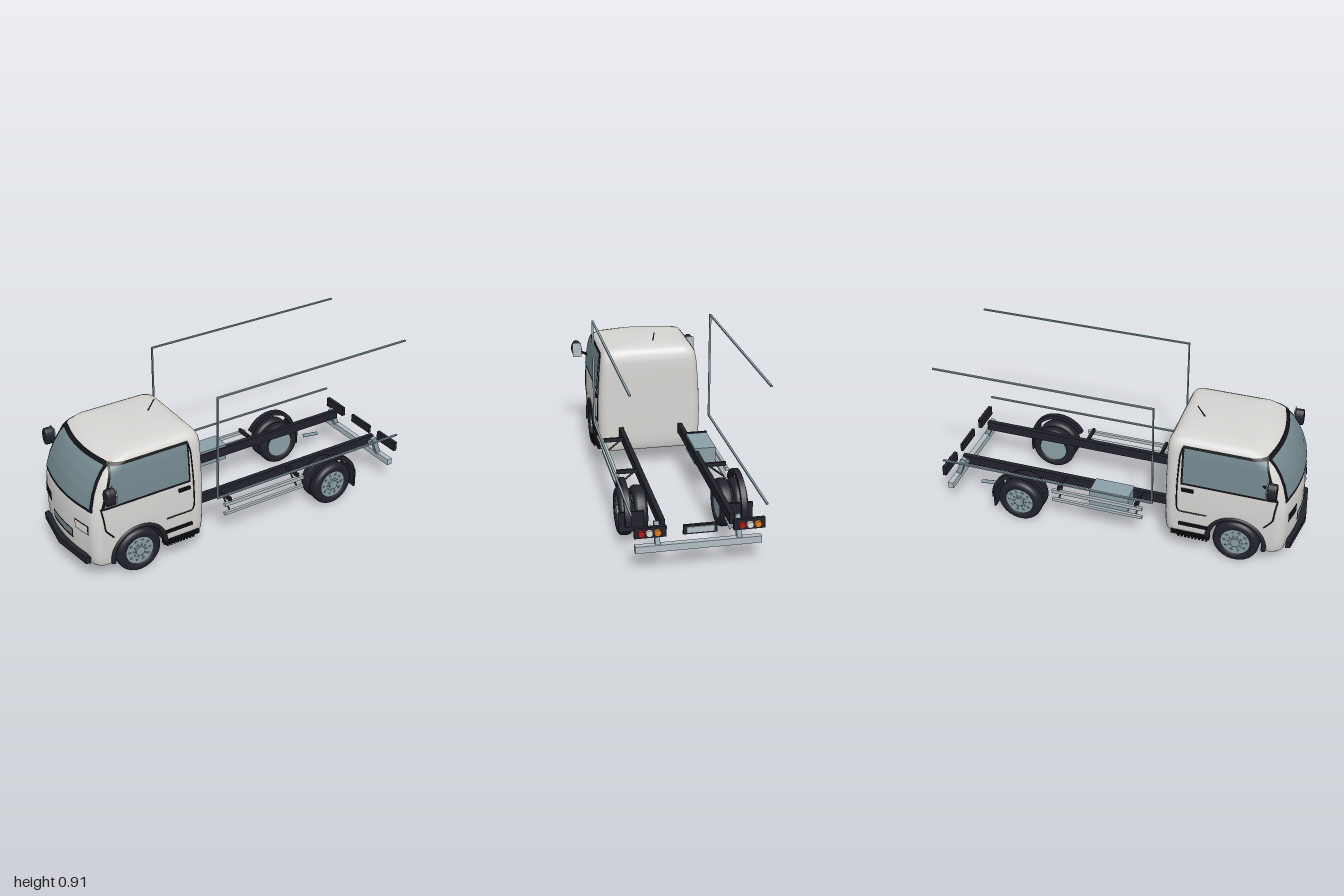
import * as THREE from 'three';

const mat = (name, color, side = THREE.FrontSide) => {
  const m = new THREE.MeshStandardMaterial({ color, side });
  m.name = name;
  return m;
};
const M = {
  body: mat('bodyPaint', 0xd8d6d3, THREE.DoubleSide),
  dark: mat('darkChassis', 0x22222c, THREE.DoubleSide),
  black: mat('blackTrim', 0x111116, THREE.DoubleSide),
  glass: mat('glass', 0x74898f, THREE.DoubleSide),
  alloy: mat('blueGreyMetal', 0x8ba0a8),
  steel: mat('paleSteel', 0xb2bec4),
  red: mat('redLens', 0xa81c1e),
  white: mat('whiteLens', 0xdededc),
  orange: mat('orangeLens', 0xdd7f1c),
};

// Cab section table: height, front x, rear x, half width
const CAB = [
  [0.10, -0.95, -0.305, 0.277], [0.115, -0.96, -0.292, 0.286], [0.16, -0.965, -0.287, 0.290],
  [0.22, -0.968, -0.285, 0.292], [0.32, -0.968, -0.285, 0.294], [0.40, -0.963, -0.285, 0.291],
  [0.45, -0.953, -0.285, 0.288], [0.52, -0.932, -0.285, 0.284], [0.58, -0.905, -0.285, 0.279],
  [0.63, -0.872, -0.286, 0.274], [0.665, -0.837, -0.291, 0.267], [0.69, -0.795, -0.304, 0.252],
  [0.704, -0.75, -0.324, 0.226], [0.712, -0.69, -0.36, 0.165], [0.715, -0.6, -0.45, 0.06],
];
const BULGE = 0.03;
const ARCH = { x: -0.68, y: 0.125, r: 0.16 };

function section(y) {
  let i = 0;
  while (i < CAB.length - 2 && CAB[i + 1][0] < y) i++;
  const a = CAB[i], b = CAB[i + 1], t = THREE.MathUtils.clamp((y - a[0]) / (b[0] - a[0]), 0, 1);
  const [xf, xr, hw] = [1, 2, 3].map(k => a[k] + (b[k] - a[k]) * t);
  const rf = Math.min(0.06, hw * 0.6), rr = Math.min(0.05, hw * 0.5);
  return { xf, xr, hw, rf, rr, cx: xf + BULGE + rf, zc: hw - rf };
}
// Side and front surface positions, used to lay trim on the cab
function sidePoint(x, y, s, off) {
  const c = section(y), d = Math.min(Math.max(c.cx - x, 0), c.rf * 0.97);
  return new THREE.Vector3(x - off * d / c.rf, y, s * (c.zc + Math.sqrt(c.rf * c.rf - d * d) + off));
}
function frontPoint(z, y, off) {
  const c = section(y), a = Math.abs(z), d = Math.min(Math.max(a - c.zc, 0), c.rf * 0.97);
  const x = d > 0 ? c.cx - Math.sqrt(c.rf * c.rf - d * d) : c.xf + BULGE * (a / c.zc) ** 2;
  return new THREE.Vector3(x - off, y + off * 0.3, z + Math.sign(z) * off * d / c.rf);
}

// Half outline of the cab, from front centre round the left side to rear centre
const HALF = [];
[0, 0.25, 0.5, 0.75].forEach(f => HALF.push(c => [c.xf + BULGE * f * f, f * c.zc]));
for (let i = 0; i <= 6; i++) {
  const a = i / 6 * Math.PI / 2;
  HALF.push(c => [c.cx - c.rf * Math.cos(a), c.zc + c.rf * Math.sin(a)]);
}
for (let i = 1; i < 34; i++) HALF.push(c => [c.cx + (c.xr - c.rr - c.cx) * i / 34, c.hw]);
for (let i = 0; i <= 5; i++) {
  const a = i / 5 * Math.PI / 2;
  HALF.push(c => [c.xr - c.rr + c.rr * Math.sin(a), c.hw - c.rr + c.rr * Math.cos(a)]);
}
HALF.push(c => [c.xr, (c.hw - c.rr) / 2], c => [c.xr, 0]);

function cabPoint(k, y, s) {
  const dx = HALF[k](section(0.32))[0] - ARCH.x;
  const low = Math.abs(dx) < ARCH.r ? ARCH.y + Math.sqrt(ARCH.r ** 2 - dx * dx) : 0.1;
  const yy = y < 0.32 ? low + (y - 0.1) / 0.22 * (0.32 - low) : y;
  const [x, z] = HALF[k](section(yy));
  return [x, yy, s * z];
}
function buildGeometry(pos, idx) {
  const g = new THREE.BufferGeometry();
  g.setAttribute('position', new THREE.Float32BufferAttribute(pos, 3));
  if (idx) g.setIndex(idx);
  g.computeVertexNormals();
  return g;
}
function cabShell() {
  const pos = [], idx = [], n = HALF.length, cols = 2 * n - 2;
  for (const [y] of CAB) for (let i = 0; i < cols; i++)
    pos.push(...(i < n ? cabPoint(i, y, 1) : cabPoint(cols - i, y, -1)));
  const rows = CAB.length;
  for (let j = 0; j < rows - 1; j++) for (let i = 0; i < cols; i++) {
    const a = j * cols + i, b = j * cols + (i + 1) % cols;
    idx.push(a, b, b + cols, a, b + cols, a + cols);
  }
  pos.push(-0.53, 0.716, 0);
  for (let i = 0; i < cols; i++) idx.push((rows - 1) * cols + i, (rows - 1) * cols + (i + 1) % cols, rows * cols);
  return buildGeometry(pos, idx);
}
// Floor strip; the raised columns form the wheel tunnel
function underside(tunnel) {
  const pos = [];
  for (let k = 0; k < HALF.length - 1; k++) {
    const a = cabPoint(k, 0.1, 1), b = cabPoint(k + 1, 0.1, 1);
    if ((a[1] > 0.101 || b[1] > 0.101) !== tunnel) continue;
    const c = cabPoint(k, 0.1, -1), d = cabPoint(k + 1, 0.1, -1);
    pos.push(...a, ...c, ...b, ...b, ...c, ...d);
  }
  return buildGeometry(pos);
}
// Four-cornered patch (bottom pair, top pair) laid on a surface function
function patch(fn, [a, b, c, d], off, n = 14) {
  const pos = [], idx = [], L = THREE.MathUtils.lerp;
  for (let j = 0; j <= n; j++) for (let i = 0; i <= n; i++) {
    const u = i / n, v = j / n;
    pos.push(...fn(L(L(a[0], b[0], u), L(d[0], c[0], u), v), L(L(a[1], b[1], u), L(d[1], c[1], u), v), off).toArray());
    if (i < n && j < n) { const p = j * (n + 1) + i; idx.push(p, p + 1, p + n + 2, p, p + n + 2, p + n + 1); }
  }
  return buildGeometry(pos, idx);
}

export function createModel() {
  const root = new THREE.Group();
  root.name = 'chassisCabTruck';
  const add = (name, geo, m, x = 0, y = 0, z = 0, parent = root) => {
    const mesh = new THREE.Mesh(geo, m);
    mesh.name = name;
    mesh.position.set(x, y, z);
    parent.add(mesh);
    return mesh;
  };
  const box = (name, m, x0, x1, y0, y1, z0, z1) => add(name, new THREE.BoxGeometry(x1 - x0, y1 - y0, Math.abs(z1 - z0)), m,
    (x0 + x1) / 2, (y0 + y1) / 2, (z0 + z1) / 2);
  const rod = (name, m, pts, r, tension = 0) => {
    const v = pts.map(p => p.isVector3 ? p : new THREE.Vector3(...p));
    const path = v.length === 2 ? new THREE.LineCurve3(...v) : new THREE.CatmullRomCurve3(v, false, 'catmullrom', tension);
    return add(name, new THREE.TubeGeometry(path, v.length === 2 ? 1 : v.length * 8, r, 8), m);
  };
  const discZ = (r, w, n = 32) => new THREE.CylinderGeometry(r, r, w, n).rotateX(Math.PI / 2);

  // Cab
  add('cabShell', cabShell(), M.body);
  add('cabFloor', underside(false), M.body);
  add('wheelTunnel', underside(true), M.dark);
  add('windscreenSeal', patch(frontPoint, [[-0.262, 0.425], [0.262, 0.425], [0.236, 0.668], [-0.236, 0.668]], 0.004, 24), M.black);
  add('windscreen', patch(frontPoint, [[-0.245, 0.44], [0.245, 0.44], [0.222, 0.652], [-0.222, 0.652]], 0.007, 24), M.glass);
  const front = (name, m, z0, z1, y0, y1, off) => add(name, patch(frontPoint, [[z0, y0], [z1, y0], [z1, y1], [z0, y1]], off), m);
  front('grilleSurround', M.black, -0.11, 0.11, 0.205, 0.262, 0.004);
  front('grille', M.glass, -0.104, 0.104, 0.22, 0.257, 0.006);
  rod('antenna', M.black, [[-0.43, 0.71, -0.042], [-0.388, 0.77, -0.042]], 0.003);

  // Front bumper, pointed at the centre
  const bumper = new THREE.Shape([[-0.94, -0.25], [-0.965, -0.24], [-1, 0], [-0.965, 0.24], [-0.94, 0.25], [-0.94, 0]]
    .map(p => new THREE.Vector2(...p)));
  add('frontBumper', new THREE.ExtrudeGeometry(bumper, { depth: 0.038, bevelEnabled: false }).rotateX(Math.PI / 2), M.dark, 0, 0.16, 0);

  // Wheel: tyre, dished rim, vent holes and hub
  const wheel = (name, x, z, s, width) => {
    const g = new THREE.Group();
    g.name = name;
    g.position.set(x, 0.125, z);
    if (s < 0) g.rotation.y = Math.PI;
    root.add(g);
    const h = width / 2;
    const prof = [[0.078, -h + 0.008], [0.09, -h], [0.108, -h], [0.12, -h + 0.008], [0.125, -h + 0.02],
      [0.125, h - 0.02], [0.12, h - 0.008], [0.108, h], [0.09, h], [0.078, h - 0.008]].map(p => new THREE.Vector2(...p));
    add('tyre', new THREE.LatheGeometry(prof, 40).rotateX(Math.PI / 2), M.dark, 0, 0, 0, g);
    add('rim', discZ(0.081, width - 0.016), M.alloy, 0, 0, 0, g);
    add('hub', discZ(0.026, 0.012, 20), M.alloy, 0, 0, h - 0.004, g);
    for (let i = 0; i < 10; i++) {
      const a = i / 10 * Math.PI * 2;
      add('ventHole', discZ(0.008, 0.004, 12), M.glass, 0.06 * Math.cos(a), 0.06 * Math.sin(a), h - 0.007, g);
      add('wheelNut', discZ(0.004, 0.008, 6), M.steel, 0.037 * Math.cos(a), 0.037 * Math.sin(a), h - 0.006, g);
    }
  };

  for (const s of [1, -1]) {
    const side = (x, y, off) => sidePoint(x, y, s, off);
    // Doors and windows
    add('windowSeal', patch(side, [[-0.887, 0.44], [-0.374, 0.44], [-0.374, 0.672], [-0.805, 0.672]], 0.004), M.black);
    add('sideWindow', patch(side, [[-0.868, 0.454], [-0.385, 0.454], [-0.385, 0.66], [-0.80, 0.66]], 0.007), M.glass);
    const seam = [[-0.885, 0.45], [-0.875, 0.38], [-0.868, 0.32], [-0.825, 0.265]];
    const rearSeam = [[-0.374, 0.66], [-0.362, 0.6], [-0.355, 0.45], [-0.355, 0.31], [-0.37, 0.265], [-0.52, 0.265]];
    for (const line of [seam, rearSeam]) rod('doorSeam', M.black, line.map(p => side(p[0], p[1], 0.001)), 0.0035, 0.2);
    const grip = box('doorHandle', M.black, -0.445, -0.38, 0.4, 0.42, s * 0.288, s * 0.303);
    grip.scale.y = 0.8;
    // Headlight
    front('headlightSurround', M.black, s * 0.135, s * 0.245, 0.288, 0.342, 0.004);
    front('headlight', M.white, s * 0.141, s * 0.239, 0.294, 0.336, 0.007);
    // Wheel arch trim and steps
    const arc = (x, r, a0, a1) => Array.from({ length: 15 }, (_, i) => {
      const a = a0 + (a1 - a0) * i / 14;
      return [x + r * Math.cos(a), 0.125 + r * Math.sin(a), s * 0.288];
    });
    rod('frontArchTrim', M.dark, arc(ARCH.x, 0.153, -0.12, Math.PI + 0.12), 0.013, 0.5);
    box('lowerStep', M.black, -0.54, -0.33, 0.108, 0.13, s * 0.27, s * 0.3);
    box('upperStep', M.black, -0.53, -0.37, 0.175, 0.192, s * 0.27, s * 0.3);
    for (let i = 0; i < 9; i++) box('stepRib', M.black, -0.535 + i * 0.019, -0.524 + i * 0.019, 0.112, 0.126, s * 0.3, s * 0.318);
    // Mirror
    rod('mirrorArm', M.black, [[-0.80, 0.525, s * 0.28], [-0.835, 0.53, s * 0.305], [-0.86, 0.53, s * 0.33]], 0.008, 0.5);
    const outline = new THREE.Shape().absellipse(0, 0, 0.021, 0.04, 0, Math.PI * 2);
    const shell = add('mirrorHousing', new THREE.ExtrudeGeometry(outline, { depth: 0.034, bevelSize: 0.008, bevelThickness: 0.008, bevelSegments: 3 })
      .rotateY(Math.PI / 2), M.dark, -0.879, 0.55, s * 0.346);
    shell.scale.z = 1.05;
    box('mirrorGlass', M.steel, -0.839, -0.833, 0.507, 0.593, s * 0.32, s * 0.372);
    // Wheels
    wheel('frontWheel', -0.68, s * 0.25, s, 0.09);
    wheel('rearOuterWheel', 0.53, s * 0.296, s, 0.07);
    wheel('rearInnerWheel', 0.53, s * 0.22, s, 0.068);
    // Rear mudguard and flap
    const guard = new THREE.Shape();
    guard.absarc(0, 0, 0.168, -0.1, Math.PI - 0.5, false);
    guard.absarc(0, 0, 0.145, Math.PI - 0.5, -0.1, true);
    add('rearMudguard', new THREE.ExtrudeGeometry(guard, { depth: 0.03, bevelEnabled: false, curveSegments: 24 }), M.dark,
      0.53, 0.125, s > 0 ? 0.282 : -0.312);
    box('mudFlap', M.dark, 0.664, 0.674, 0.075, 0.182, s * 0.215, s * 0.344);
    // Chassis rail and side guard
    box('chassisRail', M.dark, -0.3, 0.925, 0.197, 0.25, s * 0.158, s * 0.184);
    box('sideGuardUpper', M.steel, -0.168, 0.345, 0.212, 0.232, s * 0.284, s * 0.3);
    box('sideGuardLower', M.steel, -0.168, 0.345, 0.157, 0.173, s * 0.284, s * 0.3);
    for (const x of [-0.13, 0.31]) {
      box('guardBracket', M.dark, x - 0.007, x + 0.007, 0.23, 0.252, s * 0.18, s * 0.293);
      rod('guardBrace', M.dark, [[x, 0.235, s * 0.2], [x, 0.168, s * 0.284]], 0.005);
    }
    // Cargo frame
    box('cargoFrameTop', M.alloy, -0.236, 0.97, 0.9, 0.907, s * 0.324, s * 0.335);
    box('cargoFrameBottom', M.alloy, -0.236, 0.97, 0.305, 0.313, s * 0.324, s * 0.335);
    box('cargoFramePost', M.alloy, -0.237, -0.23, 0.305, 0.907, s * 0.324, s * 0.335);
    // Tail light cluster
    box('rearLightHousing', M.dark, 0.968, 0.988, 0.194, 0.248, s * 0.163, s * 0.318);
    [M.red, M.white, M.orange].forEach((m, i) => add(['stopLamp', 'reverseLamp', 'turnLamp'][i],
      new THREE.CylinderGeometry(0.016, 0.018, 0.012, 24).rotateZ(-Math.PI / 2), m, 0.994, 0.219, (s > 0 ? 0.285 : -0.203) - i * 0.039));
    const strut = box('bumperStrut', M.alloy, 0.917, 0.945, 0.12, 0.245, s * 0.188, s * 0.212);
    strut.rotation.z = 0.36;
    box('strutMount', M.alloy, 0.885, 0.935, 0.21, 0.228, s * 0.184, s * 0.21);
  }

  // Rear bumper, number plate, fuel tank and exhaust
  box('rearBumper', M.steel, 0.937, 0.968, 0.105, 0.14, -0.31, 0.31);
  box('plateHolder', M.dark, 0.974, 0.988, 0.196, 0.243, -0.083, 0.083);
  box('blankPlate', M.steel, 0.988, 0.992, 0.204, 0.234, -0.067, 0.067);
  box('fuelTank', M.alloy, -0.085, 0.135, 0.17, 0.263, -0.282, -0.165);
  rod('exhaustPipe', M.alloy, [[0.70, 0.122, -0.2], [0.81, 0.106, -0.2]], 0.01);
  return root;
}
